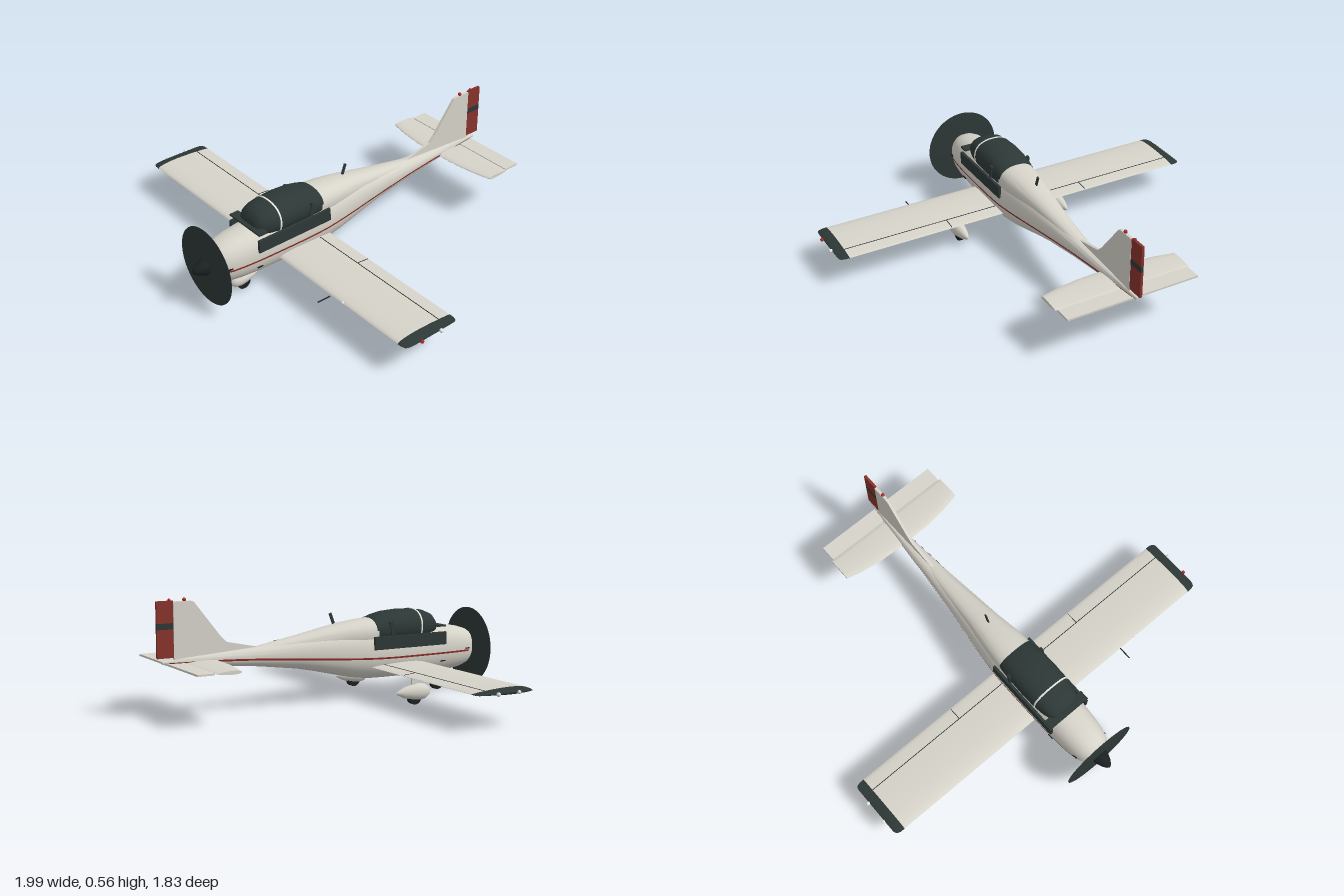
import * as THREE from 'three';
import { toCreasedNormals } from 'three/addons/utils/BufferGeometryUtils.js';

const mat = (name, color) => Object.assign(new THREE.MeshStandardMaterial({ color }), { name });

// Closed skin through a list of equal-length rings, with flat end caps
function skin(rings, crease = 0.6) {
  const n = rings[0].length, pos = [], idx = [];
  rings.forEach(r => r.forEach(p => pos.push(...p)));
  for (let i = 0; i < rings.length - 1; i++)
    for (let j = 0; j < n; j++) {
      const a = i * n + j, b = i * n + (j + 1) % n;
      idx.push(a, b, a + n, b, b + n, a + n);
    }
  [0, rings.length - 1].forEach(i => {
    const c = [0, 1, 2].map(k => rings[i].reduce((s, p) => s + p[k], 0) / n);
    const m = pos.length / 3;
    pos.push(...c);
    for (let j = 0; j < n; j++) {
      const a = i * n + j, b = i * n + (j + 1) % n;
      if (i) idx.push(a, b, m); else idx.push(b, a, m);
    }
  });
  // turn the faces outward if the enclosed volume is negative
  const v = k => new THREE.Vector3().fromArray(pos, k * 3);
  let vol = 0;
  for (let k = 0; k < idx.length; k += 3) vol += v(idx[k]).dot(v(idx[k + 1]).cross(v(idx[k + 2])));
  if (vol < 0) idx.reverse();
  const g = new THREE.BufferGeometry();
  g.setAttribute('position', new THREE.Float32BufferAttribute(pos, 3));
  g.setIndex(idx);
  return toCreasedNormals(g, crease);
}

// Superellipse body; each section is [z, half width, bottom, top]
const POW = 2.3;
const body = secs => skin(secs.map(([z, w, b, t]) => Array.from({ length: 40 }, (_, j) => {
  const a = j / 40 * Math.PI * 2, c = Math.cos(a), s = Math.sin(a);
  const f = u => Math.sign(u) * Math.abs(u) ** (2 / POW);
  return [w * f(c), (b + t) / 2 + (t - b) / 2 * f(s), z];
})));

// Airfoil ring at x
const foil = (x, y, lead, chord, thick) => Array.from({ length: 28 }, (_, j) => {
  const a = j / 28 * Math.PI * 2, u = (1 - Math.cos(a)) / 2;
  return [x, y + thick * 1.3 * Math.sin(a) * (1 - 0.62 * u) * 0.5, lead - chord * u];
});

const FUSELAGE = [
  [0.825, 0.045, 0.17, 0.28], [0.815, 0.067, 0.145, 0.3], [0.795, 0.083, 0.128, 0.312], [0.75, 0.096, 0.112, 0.326],
  [0.69, 0.104, 0.103, 0.337], [0.6, 0.11, 0.097, 0.345], [0.45, 0.113, 0.094, 0.348], [0.3, 0.114, 0.094, 0.355],
  [0.2, 0.112, 0.096, 0.358], [0.1, 0.103, 0.11, 0.355], [0, 0.092, 0.133, 0.348], [-0.1, 0.08, 0.157, 0.338],
  [-0.2, 0.069, 0.178, 0.326], [-0.4, 0.048, 0.205, 0.302], [-0.6, 0.031, 0.225, 0.288], [-0.78, 0.016, 0.238, 0.277],
  [-0.89, 0.005, 0.25, 0.265]];

// Half width of the fuselage at a given station and height
function halfWidth(z, y) {
  let i = 0;
  while (i < FUSELAGE.length - 2 && FUSELAGE[i + 1][0] > z) i++;
  const A = FUSELAGE[i], B = FUSELAGE[i + 1], k = (A[0] - z) / (A[0] - B[0]);
  const [w, b, t] = [1, 2, 3].map(q => A[q] + (B[q] - A[q]) * k);
  const u = Math.min(1, Math.abs(y - (b + t) / 2) / ((t - b) / 2));
  return w * (1 - u ** POW) ** (1 / POW);
}

// Painted ribbon lying on the fuselage side
function stripe(side, z0, z1, height, width) {
  const pos = [], idx = [], N = 60;
  for (let i = 0; i <= N; i++) {
    const z = z0 + (z1 - z0) * i / N, y = height(z);
    for (const h of [-width / 2, width / 2]) pos.push(side * (halfWidth(z, y + h) + 0.002), y + h, z);
    if (i < N) idx.push(2 * i, 2 * i + 1, 2 * i + 2, 2 * i + 1, 2 * i + 3, 2 * i + 2);
  }
  if (side < 0) idx.reverse();
  const g = new THREE.BufferGeometry();
  g.setAttribute('position', new THREE.Float32BufferAttribute(pos, 3));
  g.setIndex(idx);
  g.computeVertexNormals();
  return g;
}

export function createModel() {
  const model = new THREE.Group();
  model.name = 'lightAircraft';
  const cream = mat('cream paint', 0xd6d3c9), dark = mat('dark trim', 0x2d3836), red = mat('red paint', 0x86332b);
  const black = mat('black rubber', 0x1b2021), white = mat('white lamp', 0xe8e8e4), lamp = mat('red lamp', 0xb32a24);
  const stripePaint = mat('stripe red', 0x8c2c26);
  stripePaint.side = THREE.DoubleSide;
  const add = (name, geo, m, x = 0, y = 0, z = 0, parent = model) => {
    const mesh = new THREE.Mesh(geo, m);
    mesh.name = name;
    mesh.position.set(x, y, z);
    parent.add(mesh);
    return mesh;
  };
  const box = (name, m, sx, sy, sz, x, y, z) => add(name, new THREE.BoxGeometry(sx, sy, sz), m, x, y, z);
  const ball = (name, m, r, x, y, z) => add(name, new THREE.SphereGeometry(r, 14, 10), m, x, y, z);

  // Fuselage, rear deck and canopy
  add('fuselage', body(FUSELAGE), cream);
  add('rearDeck', body([[0.225, 0.1, 0.25, 0.402], [0.15, 0.095, 0.25, 0.397], [0.05, 0.082, 0.25, 0.385],
    [-0.05, 0.068, 0.25, 0.367], [-0.2, 0.052, 0.25, 0.338], [-0.42, 0.03, 0.25, 0.3]]), cream);
  const canopy = [[0.592, 0.05, 0.31, 0.362], [0.585, 0.07, 0.3, 0.385], [0.565, 0.086, 0.29, 0.408], [0.53, 0.097, 0.28, 0.423],
    [0.475, 0.104, 0.27, 0.431], [0.4, 0.107, 0.27, 0.434], [0.31, 0.105, 0.27, 0.428], [0.255, 0.102, 0.27, 0.416],
    [0.215, 0.098, 0.27, 0.402]];
  add('canopy', body(canopy), dark);
  add('canopyFrame', body([[0.479, 0.106, 0.268, 0.434], [0.471, 0.106, 0.268, 0.434]]), white);
  box('glareShield', dark, 0.232, 0.008, 0.05, 0, 0.347, 0.588);
  const antenna = box('antenna', dark, 0.006, 0.055, 0.014, 0, 0.41, 0.008);
  antenna.rotation.x = -0.35;

  // Spinner and spinning propeller disc
  const spin = (name, pts, m, y, z, seg = 48) => {
    const g = new THREE.LatheGeometry(pts.map(p => new THREE.Vector2(...p)), seg);
    return add(name, toCreasedNormals(g.rotateX(Math.PI / 2), 0.6), m, 0, y, z);
  };
  spin('propellerDisc', [[0, -0.007], [0.08, -0.006], [0.197, -0.001], [0.197, 0.001], [0.08, 0.006], [0, 0.007]], dark, 0.22, 0.835, 64);
  spin('spinner', [[0, -0.015], [0.042, -0.015], [0.042, 0.005], [0.037, 0.03], [0.027, 0.056], [0.013, 0.077], [0, 0.085]], black, 0.22, 0.83, 28);

  // Parts mirrored on both sides
  const wingY = 0.164;
  for (const s of [1, -1]) {
    const side = s > 0 ? 'left' : 'right';
    box(side + 'CockpitSill', dark, 0.014, 0.065, 0.425, s * 0.111, 0.284, 0.402);
    const brace = box(side + 'SeatBack', dark, 0.012, 0.066, 0.018, s * 0.104, 0.353, 0.295);
    brace.rotation.x = -0.2;

    // Stripes and vents
    const line = z => 0.206 + 0.047 * THREE.MathUtils.smoothstep(-z, -0.35, 0.7);
    add(side + 'Stripe', stripe(s, 0.775, -0.86, line, 0.009), stripePaint);
    const pin = stripe(s, 0.7, -0.8, z => line(z) + 0.013, 0.004);
    add(side + 'Pinstripe', pin, black);
    box(side + 'CowlVent', black, 0.006, 0.006, 0.025, s * 0.093, 0.217, 0.765);
    box(side + 'ExhaustVent', black, 0.006, 0.005, 0.03, s * 0.104, 0.165, 0.605);

    // Wing with dark tapered tip
    add(side + 'Wing', skin([foil(0, wingY, 0.492, 0.312, 0.034), foil(s * 0.93, wingY, 0.492, 0.312, 0.034)]), cream);
    add(side + 'WingTip', skin([foil(s * 0.93, wingY, 0.493, 0.314, 0.035), foil(s * 0.955, wingY, 0.492, 0.312, 0.027),
      foil(s * 0.972, wingY, 0.486, 0.3, 0.016), foil(s * 0.98, wingY, 0.47, 0.272, 0.007)]), dark);
    box(side + 'FlapGap', black, 0.82, 0.0015, 0.003, s * 0.52, wingY + 0.0105, 0.25);
    box(side + 'AileronGap', black, 0.003, 0.0015, 0.065, s * 0.385, wingY + 0.0075, 0.217).rotation.x = -0.1;
    ball(side + 'TipLamp', s > 0 ? lamp : white, 0.009, s * 0.986, wingY, 0.4);
    ball(side + 'RearTipLamp', white, 0.01, s * 0.986, wingY, 0.285);

    // Tailplane and elevator
    add(side + 'Tailplane', skin([[0, -0.615], [0.15, -0.62], [0.26, -0.634], [0.355, -0.655]].map(
      ([x, l]) => foil(s * x, 0.251, l, l + 0.78, 0.018))), cream);
    box(side + 'Elevator', cream, 0.345, 0.009, 0.084, s * 0.1725, 0.249, -0.824);
  }
  add('pitotTube', new THREE.CylinderGeometry(0.003, 0.003, 0.07, 8).rotateX(Math.PI / 2), black, 0.468, 0.147, 0.522);
  ball('landingLamp', white, 0.008, 0.56, wingY, 0.488);

  // Fin with dorsal fillet, banded rudder and beacons
  const finShape = new THREE.Shape([[0.38, 0.27], [0.38, 0.297], [0.44, 0.308], [0.565, 0.335], [0.6, 0.37], [0.73, 0.535], [0.745, 0.54],
    [0.832, 0.54], [0.832, 0.26]].map(p => new THREE.Vector2(...p)));
  add('fin', new THREE.ExtrudeGeometry(finShape, { depth: 0.014, bevelEnabled: false })
    .rotateY(Math.PI / 2).translate(-0.007, 0, 0), cream);
  [[0.28, 0.413, red], [0.413, 0.442, dark], [0.442, 0.545, red]].forEach(([a, b, m], i) =>
    box('rudderBand' + (i + 1), m, 0.013, b - a, 0.082, 0, (a + b) / 2, -0.874));
  ball('finBeacon', lamp, 0.009, 0, 0.547, -0.775);
  ball('tailLamp', lamp, 0.007, 0, 0.548, -0.85);

  // Undercarriage: teardrop fairing, wheel and strut
  const gear = (name, x, z, k, legTop) => {
    const g = new THREE.Group();
    g.name = name;
    g.position.set(x, 0, z);
    model.add(g);
    const pts = [[0, -0.1], [0.01, -0.088], [0.026, -0.055], [0.037, -0.01], [0.042, 0.03], [0.037, 0.064], [0.022, 0.086], [0, 0.094]];
    const drop = new THREE.LatheGeometry(pts.map(p => new THREE.Vector2(...p)), 28).rotateX(Math.PI / 2).scale(0.83 * k, k, k);
    add('wheelFairing', drop, cream, 0, 0.061 - (1 - k) * 0.02, 0, g);
    add('wheel', new THREE.CylinderGeometry(0.036, 0.036, 0.024, 28).rotateZ(Math.PI / 2), black, 0, 0.036, 0.005, g);
    const h = legTop - 0.08;
    add('strut', new THREE.BoxGeometry(0.009, h, 0.022), cream, 0, 0.08 + h / 2, 0, g);
  };
  gear('leftMainGear', 0.29, 0.3, 1, 0.16);
  gear('rightMainGear', -0.29, 0.3, 1, 0.16);
  gear('noseGear', 0, 0.632, 0.82, 0.12);
  return model;
}
